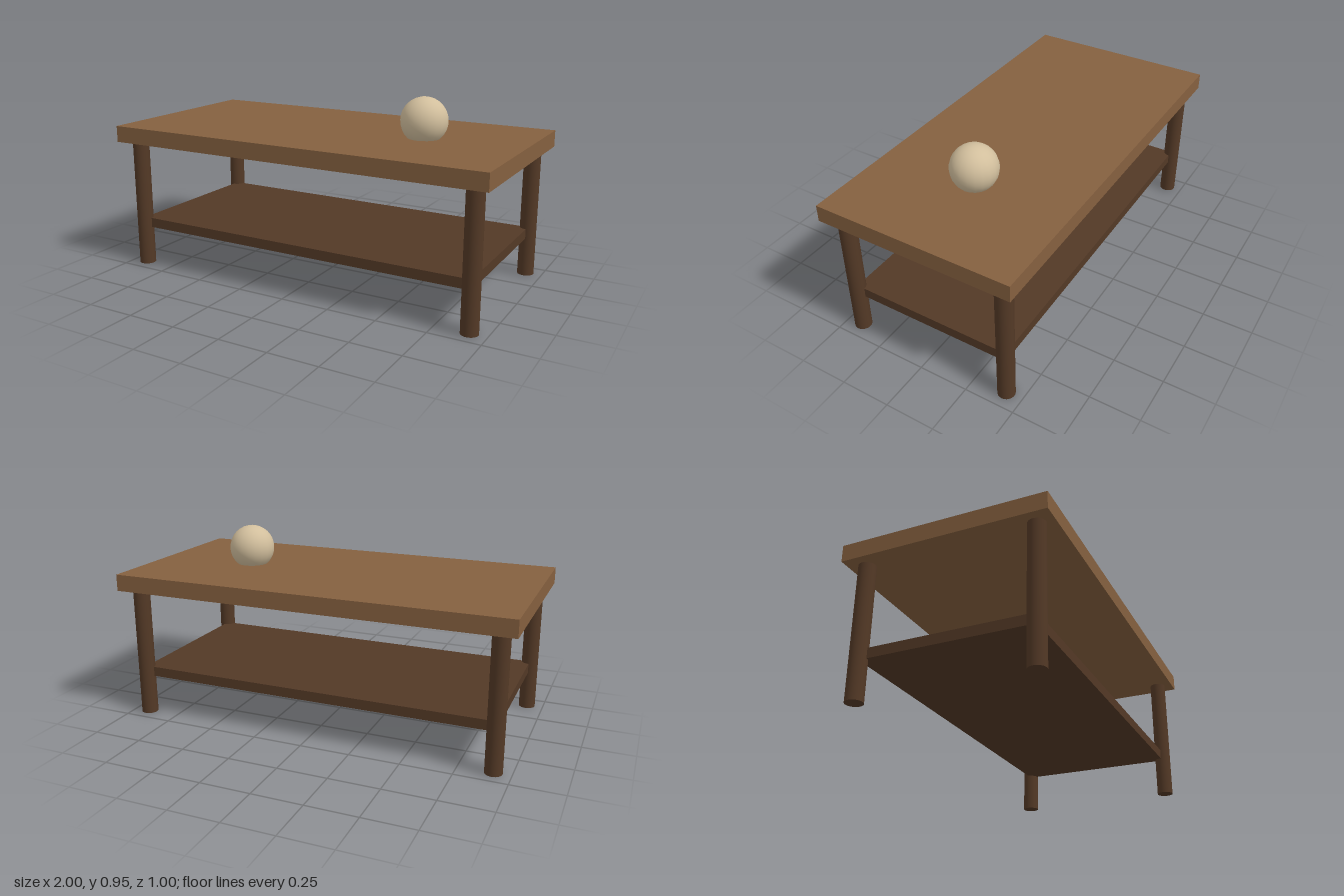
import * as THREE from 'three';

const material = (name, color) => {
  const m = new THREE.MeshStandardMaterial({ color });
  m.name = name;
  return m;
};

export function createModel() {
  const group = new THREE.Group();
  group.name = 'coffeeTable';
  const wood = material('brownWood', 0x85603f);
  const darkWood = material('darkWood', 0x533926);
  const cream = material('cream', 0xd2bf9d);

  const add = (name, geometry, mat, x, y, z) => {
    const mesh = new THREE.Mesh(geometry, mat);
    mesh.name = name;
    mesh.position.set(x, y, z);
    group.add(mesh);
  };

  // Tabletop slab
  add('tabletop', new THREE.BoxGeometry(2, 0.0833, 1), wood, 0, 0.7083, 0);

  // Lower shelf, its corners meeting the leg centres
  add('shelf', new THREE.BoxGeometry(1.8333, 0.05, 0.8333), darkWood, 0, 0.225, 0);

  // Four round legs
  const legGeometry = new THREE.CylinderGeometry(0.0417, 0.0417, 0.6667, 32);
  for (const [endZ, z] of [['front', 0.4167], ['back', -0.4167]])
    for (const [side, x] of [['Left', 0.9167], ['Right', -0.9167]])
      add(`${endZ}${side}Leg`, legGeometry, darkWood, x, 0.3333, z);

  // Ball set slightly into the tabletop
  add('ball', new THREE.SphereGeometry(0.1155, 20, 16), cream, 0.5, 0.8345, 0);

  return group;
}
